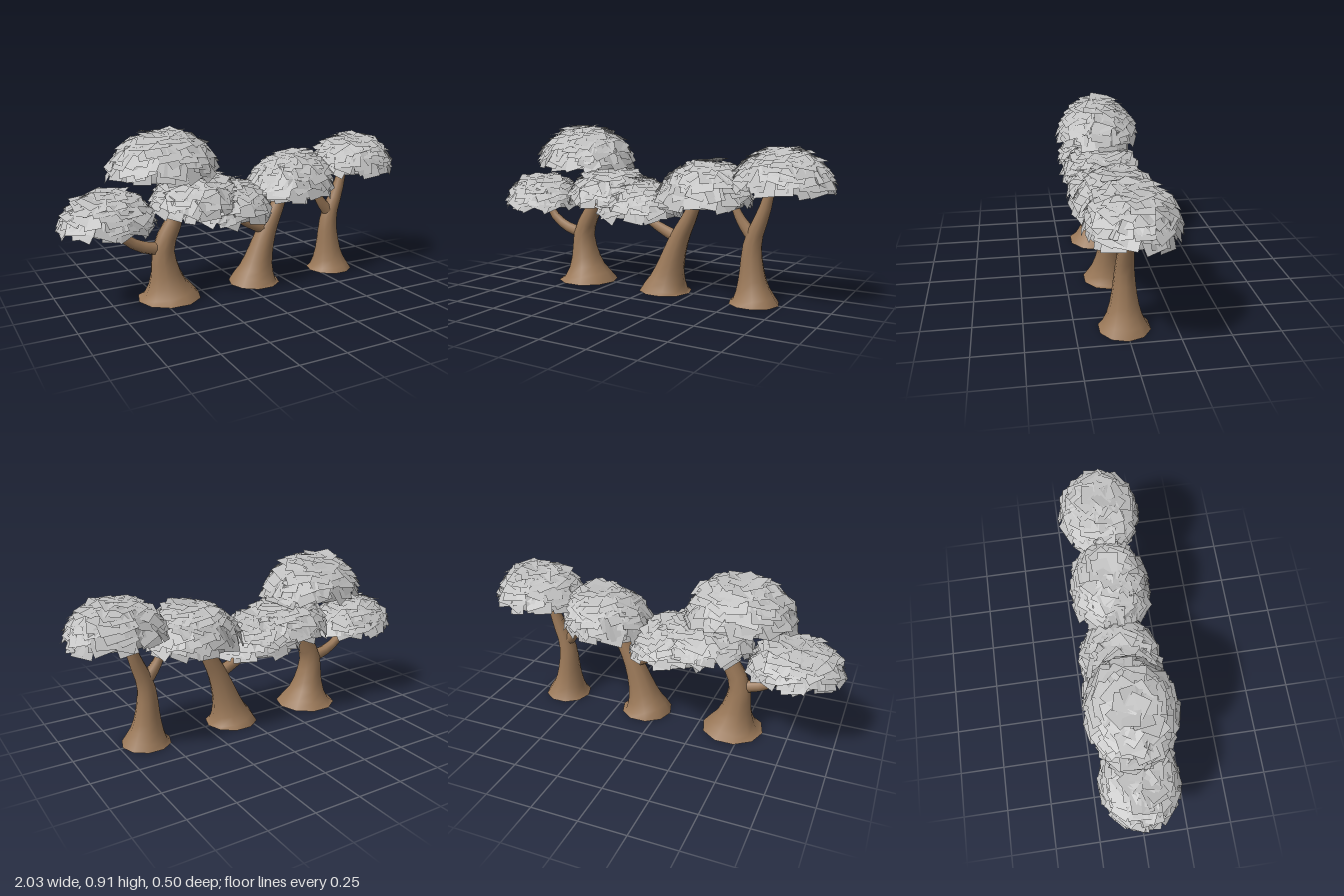
import * as THREE from 'three';
import { mergeGeometries } from 'three/addons/utils/BufferGeometryUtils.js';

const bark = new THREE.MeshStandardMaterial({ color: 0x9a7858 });
bark.name = 'bark brown';
const foliage = new THREE.MeshStandardMaterial({ color: 0xc0c0c0, side: THREE.DoubleSide });
foliage.name = 'foliage grey';

// Seeded random numbers
function seeded(seed) {
  let s = seed;
  return () => (s = (s * 16807) % 2147483647) / 2147483647;
}

// Round limb along a smooth path of [x, y] points; radiusAt(t, height) sets its width
function limb(name, path, sides, steps, radiusAt) {
  const curve = new THREE.CatmullRomCurve3(path.map(([x, y]) => new THREE.Vector3(x, y, 0.005)));
  const up = new THREE.Vector3(0, 1, 0);
  const pos = [], idx = [];
  for (let i = 0; i <= steps; i++) {
    const t = (i / steps) ** 1.3;
    const centre = curve.getPointAt(t);
    const dir = path[0][1] === 0 && i === 0 ? up : curve.getTangentAt(t);
    const turn = new THREE.Quaternion().setFromUnitVectors(up, dir);
    const r = radiusAt(t, centre.y);
    for (let j = 0; j < sides; j++) {
      const a = (j / sides) * Math.PI * 2;
      const p = new THREE.Vector3(Math.cos(a) * r, 0, Math.sin(a) * r).applyQuaternion(turn).add(centre);
      pos.push(p.x, p.y, p.z);
      if (i === steps) continue;
      const b = i * sides + j, c = i * sides + (j + 1) % sides;
      idx.push(b, b + sides, c, c, b + sides, c + sides);
    }
  }
  // End caps on their own vertices, so the rims stay sharp
  for (const ring of [0, steps]) {
    const start = pos.length / 3;
    pos.push(...pos.slice(ring * sides * 3, (ring + 1) * sides * 3));
    for (let j = 1; j < sides - 1; j++) {
      if (ring === 0) idx.push(start, start + j, start + j + 1);
      else idx.push(start, start + j + 1, start + j);
    }
  }
  const g = new THREE.BufferGeometry();
  g.setAttribute('position', new THREE.Float32BufferAttribute(pos, 3));
  g.setIndex(idx);
  g.computeVertexNormals();
  const mesh = new THREE.Mesh(g, bark);
  mesh.name = name;
  return mesh;
}

// Trunk with a flared foot, tapering to a thin tip
function trunk(path, foot, waist) {
  const top = path[path.length - 1][1];
  return limb('trunk', path, 10, 11, (t, y) =>
    THREE.MathUtils.lerp(waist, 0.02, y / top) + (foot - waist) * Math.exp(-y / 0.07));
}

function branch(path) {
  return limb('branch', path, 8, 7, t => 0.038 - 0.02 * t);
}

// Open dome covered by overlapping square leaf plates
function canopy(x, y, rx, rz, h, seed, skew = 0) {
  const group = new THREE.Group();
  group.name = 'canopy';
  group.position.set(x, y, 0);
  const rand = seeded(seed);
  const jitter = a => (rand() * 2 - 1) * a;

  const shell = new THREE.SphereGeometry(1, 28, 10, 0, Math.PI * 2, 0, Math.PI / 2);
  shell.scale(rx, h, rz);
  const shear = new THREE.Matrix4();
  shear.elements[4] = skew;
  shell.applyMatrix4(shear);
  const dome = new THREE.Mesh(shell, foliage);
  dome.name = 'canopyDome';

  const leaves = [], count = 130;
  const basis = new THREE.Matrix4();
  for (let i = 0; i < count; i++) {
    const c = 1 - (i + 0.5) / count * 0.86;
    const s = Math.sqrt(1 - c * c);
    const a = i * 2.39996 + jitter(0.2);
    const p = new THREE.Vector3(Math.cos(a) * s * rx, c * h, Math.sin(a) * s * rz);
    const n = new THREE.Vector3(p.x / rx ** 2, p.y / h ** 2, p.z / rz ** 2).normalize();
    const side = new THREE.Vector3(Math.sin(a), 0, -Math.cos(a));
    side.addScaledVector(n, -side.dot(n)).normalize();
    const slope = new THREE.Vector3().crossVectors(n, side);
    const leaf = new THREE.PlaneGeometry(0.085 + rand() * 0.035, 0.085 + rand() * 0.035);
    leaf.rotateZ(jitter(0.45));
    leaf.rotateX(-0.22 + jitter(0.16));
    leaf.rotateY(jitter(0.2));
    leaf.applyMatrix4(basis.makeBasis(side, slope, n));
    p.addScaledVector(n, 0.012 + rand() * 0.008);
    leaf.translate(p.x + skew * p.y, p.y, p.z);
    leaves.push(leaf);
  }
  const plates = new THREE.Mesh(mergeGeometries(leaves), foliage);
  plates.name = 'canopyLeaves';
  group.add(dome, plates);
  return group;
}

function tree(name, ...parts) {
  const group = new THREE.Group();
  group.name = name;
  group.add(...parts);
  return group;
}

export function createModel() {
  const model = new THREE.Group();
  model.name = 'treeRow';
  model.add(
    tree('rightTree',
      trunk([[-0.44, 0], [-0.457, 0.13], [-0.466, 0.28], [-0.385, 0.48], [-0.44, 0.72]], 0.172, 0.082),
      branch([[-0.45, 0.265], [-0.6, 0.305], [-0.7, 0.38], [-0.745, 0.48]]),
      canopy(-0.755, 0.425, 0.215, 0.175, 0.165, 11),
      canopy(-0.45, 0.665, 0.26, 0.205, 0.215, 23),
      canopy(-0.27, 0.48, 0.225, 0.195, 0.175, 37)),
    tree('middleTree',
      trunk([[0.08, 0], [0.112, 0.14], [0.165, 0.3], [0.248, 0.47], [0.285, 0.62]], 0.146, 0.085),
      branch([[0.165, 0.295], [0.02, 0.362], [-0.1, 0.435]]),
      canopy(-0.09, 0.41, 0.215, 0.19, 0.185, 41),
      canopy(0.285, 0.49, 0.235, 0.19, 0.225, 59, 0.25)),
    tree('leftTree',
      trunk([[0.6, 0], [0.588, 0.13], [0.588, 0.32], [0.645, 0.48], [0.69, 0.65]], 0.133, 0.075),
      branch([[0.588, 0.345], [0.52, 0.43], [0.475, 0.52]]),
      canopy(0.735, 0.595, 0.225, 0.19, 0.19, 71)));
  return model;
}
